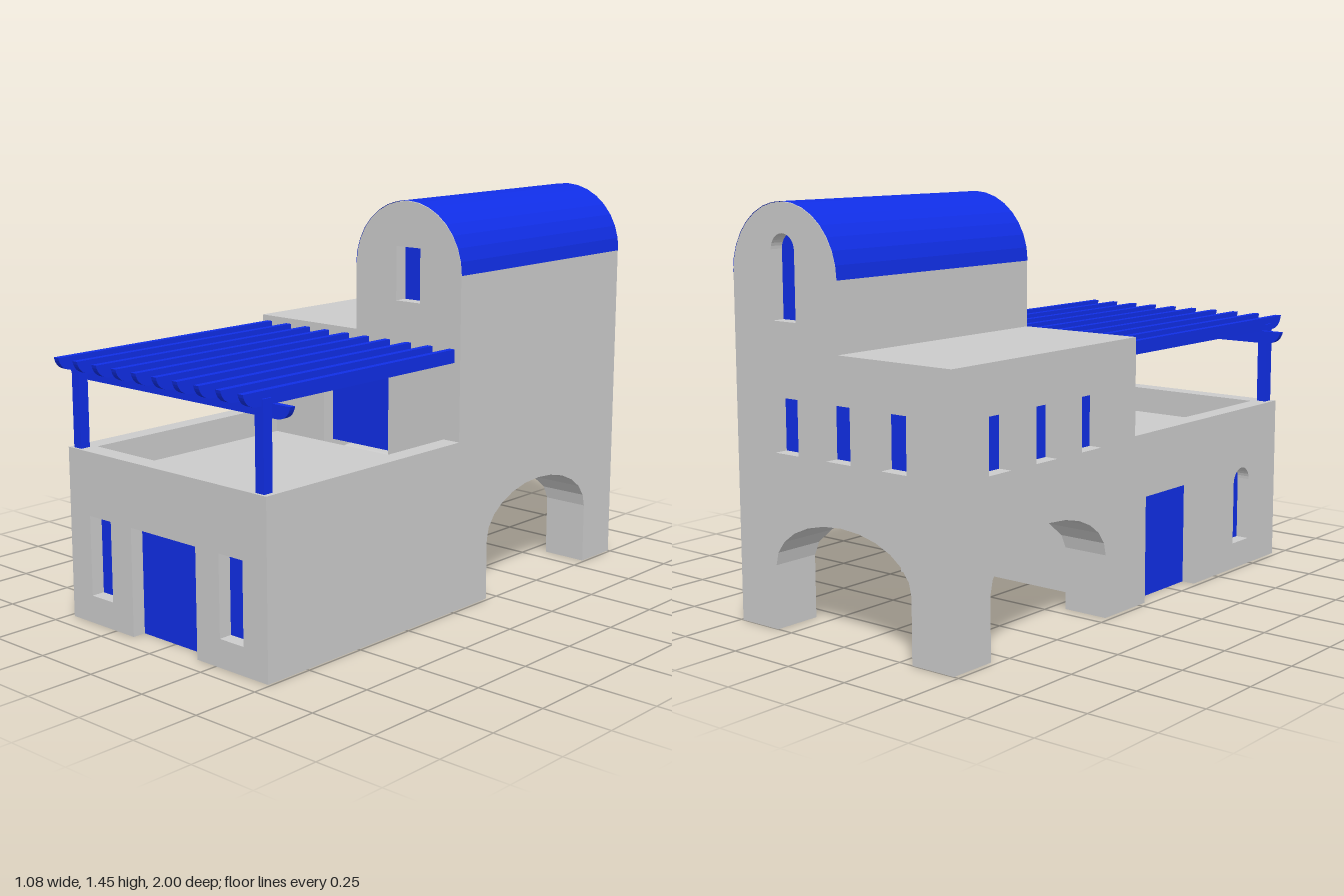
import * as THREE from 'three';

const GREY = new THREE.MeshStandardMaterial({ color: 0xcccccc, flatShading: true, side: THREE.DoubleSide });
const BLUE = new THREE.MeshStandardMaterial({ color: 0x102ee6, flatShading: true, side: THREE.DoubleSide });

// Main dimensions
const X0 = -0.48, X1 = 0.49, CX = 0.005;           // left and right limits, centre
const ZB = -1, ZM = -0.03, ZF = 0.93;              // back, middle wall, front
const T = 0.07, RECESS = 0.05;                     // wall thickness, depth of openings
const LOW = 0.62, FLOOR = 0.52, HIGH = 0.97, TOWER = 1.21;
const R = (X1 - CX) / 2, TX = (X1 + CX) / 2;       // tower barrel roof
const CZ = -0.51, HALF = 0.31, SPRING = 0.225, RISE = 0.175; // vaulted passages

function add(parent, name, geometry, material = GREY) {
  const mesh = new THREE.Mesh(geometry, material);
  mesh.name = name;
  parent.add(mesh);
  return mesh;
}

// Box given by its limits
function block(parent, name, x0, x1, y0, y1, z0, z1, material) {
  const g = new THREE.BoxGeometry(x1 - x0, y1 - y0, z1 - z0);
  g.translate((x0 + x1) / 2, (y0 + y1) / 2, (z0 + z1) / 2);
  return add(parent, name, g, material);
}

const extrude = (shape, depth) =>
  new THREE.ExtrudeGeometry(shape, { depth, bevelEnabled: false, curveSegments: 8 });

// Rectangular or round-headed opening
function opening(u, y0, y1, w = 0.11, arched = false) {
  const s = new THREE.Shape();
  s.moveTo(u - w / 2, y0);
  s.lineTo(u + w / 2, y0);
  if (arched) s.absarc(u, y1 - w / 2, w / 2, 0, Math.PI, false);
  else s.lineTo(u + w / 2, y1).lineTo(u - w / 2, y1);
  s.closePath();
  return s;
}

// Half-ellipse of the passages, as [offset, height] points
const archPoints = [];
for (let i = 0; i <= 12; i++) {
  const a = Math.PI * (1 - i / 12);
  archPoints.push([HALF * Math.cos(a), SPRING + RISE * Math.sin(a)]);
}
function archNotch(shape, centre) {
  shape.lineTo(centre - HALF, 0);
  for (const [s, h] of archPoints) shape.lineTo(centre + s, h);
  shape.lineTo(centre + HALF, 0);
}
function doorNotch(shape, u, y0, y1) {
  shape.lineTo(u - 0.16, y0).lineTo(u - 0.16, y1).lineTo(u + 0.16, y1).lineTo(u + 0.16, y0);
}

// Wall with recessed blue panes; its outer face is at local z = T
function wall(parent, name, outline, windows, door) {
  const group = new THREE.Group();
  group.name = name;
  outline.holes.push(...windows);
  add(group, 'wallPanel', extrude(outline, T));
  for (const w of windows) add(group, 'windowPane', extrude(w, T - RECESS), BLUE);
  if (door) add(group, 'doorPanel', extrude(door, T - RECESS), BLUE);
  parent.add(group);
  return group;
}

// Outline of the tall block; dir = -1 mirrors it for the back
function gableOutline(dir, y0, notch) {
  const s = new THREE.Shape();
  const [l, r] = dir > 0 ? [X0, X1] : [-X1, -X0];
  s.moveTo(l, y0);
  notch(s);
  s.lineTo(r, y0);
  if (dir > 0) {
    s.lineTo(X1, TOWER);
    s.absarc(TX, TOWER, R, 0, Math.PI, false);
    s.lineTo(CX, HIGH).lineTo(l, HIGH);
  } else {
    s.lineTo(r, HIGH).lineTo(-CX, HIGH).lineTo(-CX, TOWER);
    s.absarc(-TX, TOWER, R, 0, Math.PI, false);
  }
  s.closePath();
  return s;
}

// Side outline, drawn along z
function sideOutline(withDoor) {
  const s = new THREE.Shape();
  s.moveTo(ZB + T, 0);
  archNotch(s, CZ);
  if (withDoor) doorNotch(s, 0.2, 0, 0.39);
  s.lineTo(ZF - T, 0).lineTo(ZF - T, LOW).lineTo(ZM, LOW).lineTo(ZM, HIGH).lineTo(ZB + T, HIGH);
  s.closePath();
  return s;
}

// Two crossing vaults, meeting along the diagonals
function crossVault() {
  const pos = [];
  const quad = (a, b, c, d) => pos.push(...a, ...b, ...c, ...a, ...c, ...d);
  for (let i = 0; i < archPoints.length - 1; i++) {
    const [s, h] = archPoints[i], [t, k] = archPoints[i + 1];
    for (const [end, dir] of [[X0 + T, -1], [X1 - T, 1]])
      quad([end, h, CZ + s], [end, k, CZ + t],
        [CX + dir * Math.abs(t), k, CZ + t], [CX + dir * Math.abs(s), h, CZ + s]);
    for (const [end, dir] of [[ZB + T, -1], [ZM, 1]])
      quad([CX + s, h, end], [CX + t, k, end],
        [CX + t, k, CZ + dir * Math.abs(t)], [CX + s, h, CZ + dir * Math.abs(s)]);
  }
  const g = new THREE.BufferGeometry();
  g.setAttribute('position', new THREE.Float32BufferAttribute(pos, 3));
  g.computeVertexNormals();
  return g;
}

// Timber with its lower corners rounded at one or both ends
function timber(u0, u1, y0, y1, width, bothEnds) {
  const s = new THREE.Shape(), c = 0.065;
  s.moveTo(u0, y1);
  if (bothEnds) s.quadraticCurveTo(u0 + 0.01, y0, u0 + c, y0);
  else s.lineTo(u0, y0);
  s.lineTo(u1 - c, y0);
  s.quadraticCurveTo(u1 - 0.01, y0, u1, y1);
  s.closePath();
  return extrude(s, width).translate(0, 0, -width / 2);
}

export function createModel() {
  const model = new THREE.Group();
  model.name = 'house';

  // Front wall
  const front = new THREE.Shape();
  front.moveTo(X0, 0);
  doorNotch(front, 0, 0, 0.39);
  front.lineTo(X1, 0).lineTo(X1, LOW).lineTo(X0, LOW).closePath();
  wall(model, 'frontWall', front, [opening(-0.32, 0.1, 0.39), opening(0.325, 0.1, 0.39)],
    opening(0, 0, 0.39, 0.32)).position.z = ZF - T;

  // Wall behind the terrace, with the tower gable
  wall(model, 'terraceWall', gableOutline(1, FLOOR, s => doorNotch(s, 0, FLOOR, 0.88)),
    [opening(0.25, 1.095, 1.29)], opening(0, FLOOR, 0.88, 0.32)).position.z = ZM - T;

  // Back wall
  const back = wall(model, 'backWall', gableOutline(-1, 0, s => archNotch(s, -CX)),
    [-0.25, -0.01, 0.235].map(u => opening(u, 0.615, 0.805))
      .concat(opening(-0.25, 1.06, 1.35, 0.11, true)));
  back.rotation.y = Math.PI;
  back.position.z = ZB + T;

  // Side walls
  const plainSide = wall(model, 'leftWall', sideOutline(false), []);
  plainSide.rotation.y = -Math.PI / 2;
  plainSide.position.x = X1;
  const windowSide = wall(model, 'rightWall', sideOutline(true),
    [-0.77, -0.53, -0.285].map(u => opening(u, 0.61, 0.8))
      .concat(opening(0.685, 0.1, 0.39, 0.11, true)), opening(0.2, 0, 0.39, 0.32));
  windowSide.rotation.y = -Math.PI / 2;
  windowSide.position.x = X0 + T;

  // Terrace floor, flat roof and tower
  block(model, 'terraceFloor', X0 + T, X1 - T, 0, FLOOR, ZM, ZF - T);
  block(model, 'flatRoof', X0 + T, CX, HIGH - 0.05, HIGH, ZB + T, ZM - T);
  block(model, 'towerWalls', CX, X1, HIGH, TOWER, ZB + T, ZM - T);
  const barrel = new THREE.CylinderGeometry(R + 0.002, R + 0.002, ZM - ZB, 16, 1, true, Math.PI / 2, Math.PI);
  barrel.rotateX(Math.PI / 2).translate(TX, TOWER, (ZM + ZB) / 2);
  add(model, 'barrelRoof', barrel, BLUE);

  // Vaulted passages and their four piers
  add(model, 'crossVault', crossVault());
  for (const [x0, x1] of [[X0 + T, CX - HALF], [CX + HALF, X1 - T]])
    for (const [z0, z1] of [[ZB + T, CZ - HALF], [CZ + HALF, ZM]])
      block(model, 'pier', x0, x1, 0, SPRING, z0, z1);

  // Pergola
  const pergola = new THREE.Group();
  pergola.name = 'pergola';
  model.add(pergola);
  for (let i = 0; i < 10; i++) {
    const rafter = timber(-1, -ZM, 0.9, 0.95, 0.024, false);
    rafter.dispose();
    const g = timber(ZM, 1, 0.902, 0.95, 0.024, false).rotateY(-Math.PI / 2);
    add(pergola, 'rafter', g, BLUE).position.x = CX - 0.4475 + i * 0.895 / 9;
  }
  add(pergola, 'beam', timber(-0.54, 0.54, 0.855, 0.902, 0.022, true), BLUE).position.z = 0.86;
  for (const s of [-1, 1]) {
    const x = CX + s * 0.4475;
    block(pergola, 'post', x - 0.019, x + 0.019, LOW, 0.925, 0.882, 0.92, BLUE);
  }
  return model;
}
